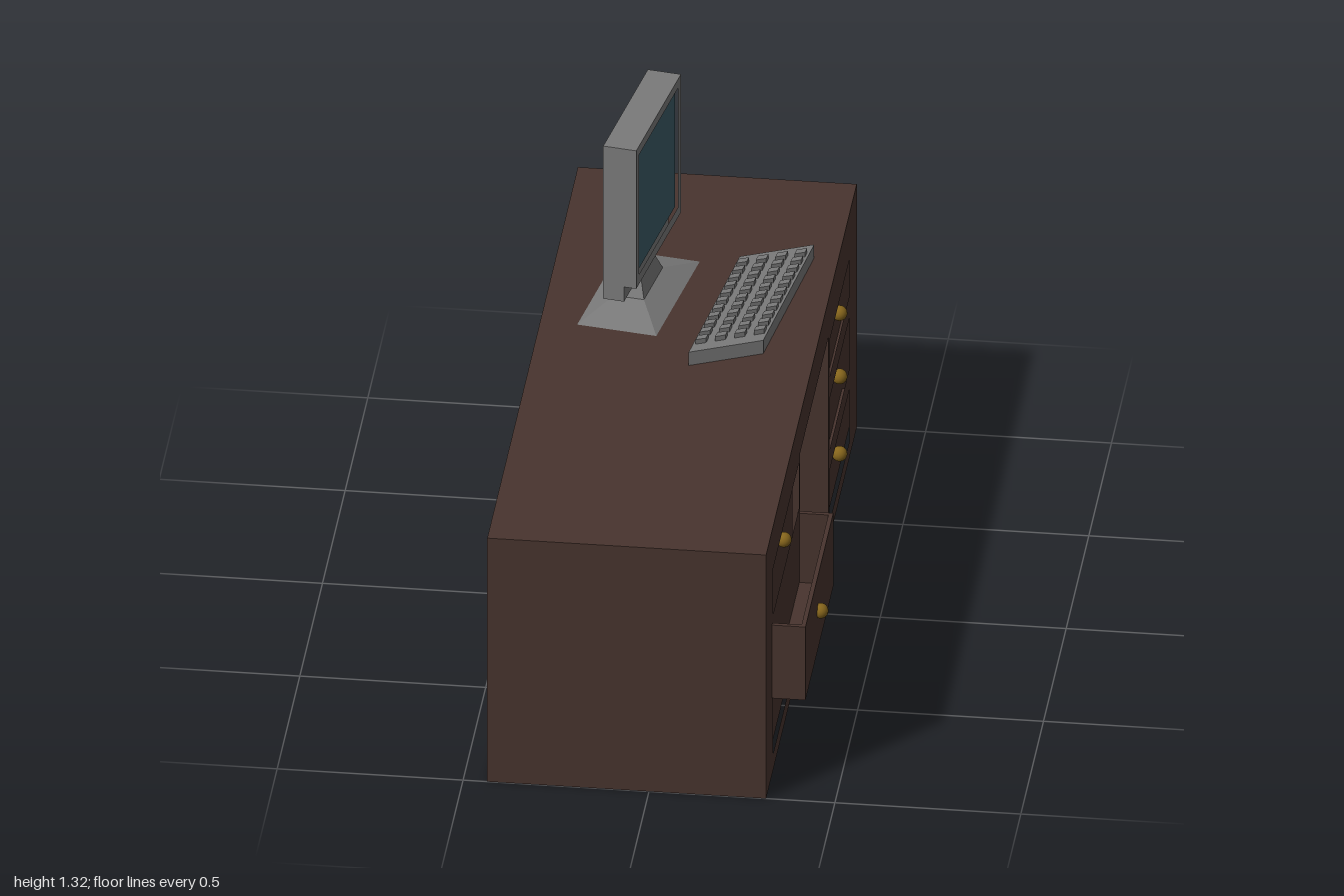
import * as THREE from 'three';

const mat = (color) => new THREE.MeshStandardMaterial({ color });
const wood = mat(0x48342e), plastic = mat(0x7a7a7a), glass = mat(0x3c5c68), brass = mat(0x86651c);

function add(parent, name, geometry, material, x = 0, y = 0, z = 0) {
  const m = new THREE.Mesh(geometry, material);
  m.name = name;
  m.position.set(x, y, z);
  parent.add(m);
  return m;
}

// Box from its limits on each axis
function block(parent, name, material, [x0, x1], [y0, y1], [z0, z1]) {
  return add(parent, name, new THREE.BoxGeometry(x1 - x0, y1 - y0, z1 - z0), material,
    (x0 + x1) / 2, (y0 + y1) / 2, (z0 + z1) / 2);
}

// Outline in (z, y), with rectangular holes [z0, z1, y0, y1], extruded along +x
function extrudeX(outline, holes, x0, depth) {
  const toPts = (pts) => pts.map(([z, y]) => new THREE.Vector2(-z, y));
  const shape = new THREE.Shape(toPts(outline));
  for (const [a, b, c, d] of holes) {
    shape.holes.push(new THREE.Path(toPts([[a, c], [b, c], [b, d], [a, d]])));
  }
  return new THREE.ExtrudeGeometry(shape, { depth, bevelEnabled: false })
    .rotateY(Math.PI / 2).translate(x0, 0, 0);
}

// Box whose top face is shrunk, standing on y = 0
function frustum(bx, bz, tx, tz, h) {
  const g = new THREE.BoxGeometry(bx, h, bz).translate(0, h / 2, 0);
  const p = g.attributes.position;
  for (let i = 0; i < p.count; i++) {
    if (p.getY(i) > h / 2) p.setXYZ(i, p.getX(i) * tx / bx, h, p.getZ(i) * tz / bz);
  }
  g.computeVertexNormals();
  return g;
}

function buildDesk() {
  const desk = new THREE.Group();
  desk.name = 'desk';
  const outline = [[1, 0], [1, 0.75], [-1, 0.75], [-1, 0], [-0.375, 0], [-0.375, 0.635], [0.255, 0.635], [0.255, 0]];
  const recesses = [
    [0.27, 0.85, 0.48, 0.62], [0.27, 0.85, 0.05, 0.22],
    [-0.84, -0.4, 0.5, 0.61], [-0.84, -0.4, 0.275, 0.43], [-0.84, -0.4, 0.05, 0.21],
  ];
  add(desk, 'deskBody', extrudeX(outline, [], -0.435, 0.73), wood);
  add(desk, 'drawerFronts', extrudeX(outline, recesses, 0.295, 0.02), wood);

  // Pulled-out drawer, open at the top
  const drawer = new THREE.Group();
  drawer.name = 'openDrawer';
  desk.add(drawer);
  const t = 0.012, ys = [0.235, 0.46];
  block(drawer, 'drawerFront', wood, [0.405 - t, 0.405], ys, [0.255, 0.87]);
  block(drawer, 'drawerSide', wood, [0.31, 0.405 - t], ys, [0.255, 0.255 + t]);
  block(drawer, 'drawerSide', wood, [0.31, 0.405 - t], ys, [0.87 - t, 0.87]);
  block(drawer, 'drawerFloor', wood, [0.31, 0.405 - t], [0.235, 0.235 + t], [0.255 + t, 0.87 - t]);

  // Knobs: x, y, z
  for (const [x, y, z] of [
    [0.313, 0.565, 0.593], [0.412, 0.353, 0.593], [0.313, 0.132, 0.593],
    [0.313, 0.56, -0.637], [0.313, 0.365, -0.637], [0.313, 0.127, -0.637],
  ]) add(desk, 'knob', new THREE.SphereGeometry(0.021, 20, 14), brass, x, y, z);
  return desk;
}

function buildMonitor() {
  const monitor = new THREE.Group();
  monitor.name = 'monitor';
  monitor.position.set(-0.183, 0, -0.349);
  monitor.rotation.y = -0.162;
  const w = 0.2135, s = 0.186;
  add(monitor, 'base', frustum(0.22, 0.415, 0.083, 0.18, 0.036), plastic, -0.01, 0.75, 0);
  add(monitor, 'neck', frustum(0.083, 0.18, 0.045, 0.12, 0.062), plastic, -0.01, 0.786, 0);
  block(monitor, 'casing', plastic, [-0.046, 0.012], [0.845, 1.315], [-w, w]);
  // Bezel frame around the sunken screen
  const frame = [[w, 0.89], [w, 1.315], [-w, 1.315], [-w, 0.89]];
  add(monitor, 'bezel', extrudeX(frame, [[-s, s, 0.92, 1.288]], 0.012, 0.034), plastic);
  block(monitor, 'screen', glass, [0.012, 0.037], [0.92, 1.288], [-s, s]);
  return monitor;
}

function buildKeyboard() {
  const keyboard = new THREE.Group();
  keyboard.name = 'keyboard';
  keyboard.position.set(-0.013, 0, 0.018);
  // Slanted outline: u runs across, v runs along
  const point = (u, v) => new THREE.Vector2(0.19 * u + 0.073 * v, 0.087 * u + 0.525 * v);
  const slab = (u0, u1, v0, v1, depth) => new THREE.ExtrudeGeometry(
    new THREE.Shape([point(u0, v0), point(u1, v0), point(u1, v1), point(u0, v1)]),
    { depth, bevelEnabled: false }).rotateX(-Math.PI / 2);
  add(keyboard, 'keyboardBody', slab(0, 1, 0, 1, 0.041), plastic, 0, 0.75, 0);
  const keys = new THREE.Group();
  keys.name = 'keys';
  keyboard.add(keys);
  for (let i = 0; i < 4; i++) {
    for (let j = 0; j < 11; j++) {
      const u = 0.11 + i * 0.26, v = 0.1 + j * 0.08;
      add(keys, 'key', slab(u - 0.07, u + 0.07, v - 0.022, v + 0.022, 0.015), plastic, 0, 0.79, 0);
    }
  }
  return keyboard;
}

export function createModel() {
  const model = new THREE.Group();
  model.name = 'deskWithComputer';
  model.add(buildDesk(), buildMonitor(), buildKeyboard());
  return model;
}
